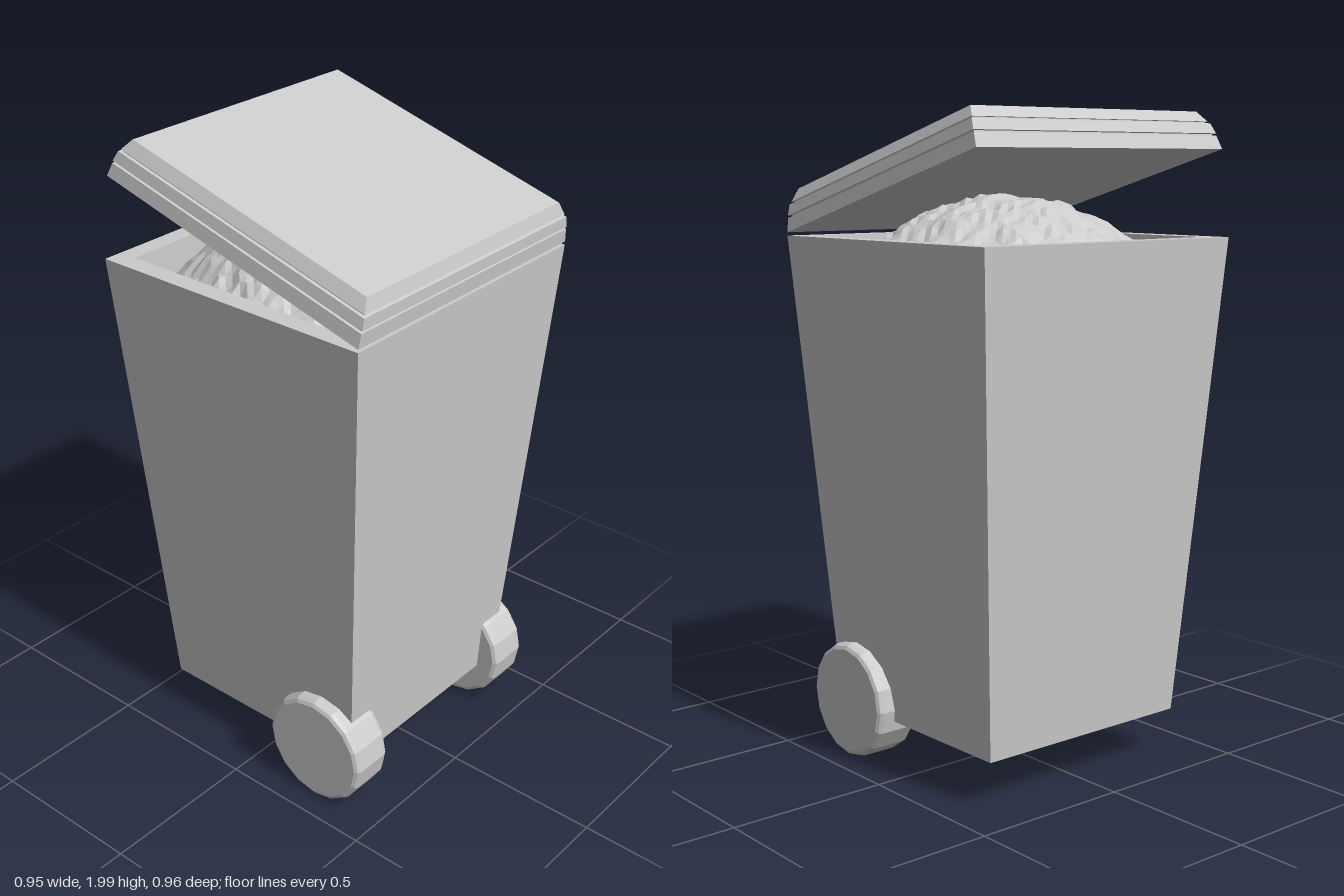
import * as THREE from 'three';

const material = new THREE.MeshStandardMaterial({ color: 0xcccccc, flatShading: true });

// Square solid from a profile of [half width, height] pairs, bottom to top
function squareLathe(profile) {
  const points = profile.map(([half, y]) => new THREE.Vector2(half * Math.SQRT2, y));
  return new THREE.LatheGeometry(points, 4, Math.PI / 4);
}

function part(name, geometry) {
  const mesh = new THREE.Mesh(geometry, material);
  mesh.name = name;
  return mesh;
}

// Crumpled mound that fills the bin mouth
function moundGeometry() {
  let seed = 7;
  const random = () => (seed = (seed * 16807) % 2147483647) / 2147483647;
  const geometry = new THREE.PlaneGeometry(0.82, 0.82, 30, 30).rotateX(-Math.PI / 2);
  const p = geometry.attributes.position;
  for (let i = 0; i < p.count; i++) {
    const x = p.getX(i), z = p.getZ(i);
    const ripple = 0.006 * Math.sin(23 * x + 9 * z) * Math.cos(19 * z - 7 * x);
    p.setY(i, 1.752 - 0.93 * (x * x + z * z) + ripple + (random() - 0.5) * 0.016);
  }
  geometry.computeVertexNormals();
  return geometry;
}

export function createModel() {
  const model = new THREE.Group();
  model.name = 'wheeledBin';

  // Tapered body with a thick rim and hollow inside
  model.add(part('body', squareLathe([
    [0, 0.15], [0.37, 0.15], [0.475, 1.63], [0.415, 1.63], [0.33, 0.21], [0, 0.21],
  ])));

  model.add(part('rubbish', moundGeometry()));

  // Propped lid: three flared bands separated by thin grooves
  const lid = part('lid', squareLathe([
    [0, 0], [0.475, 0], [0.468, 0.043], [0.459, 0.043], [0.459, 0.05],
    [0.468, 0.05], [0.46, 0.083], [0.449, 0.083], [0.449, 0.09],
    [0.455, 0.09], [0.435, 0.126], [0, 0.126],
  ]));
  lid.position.set(0, 1.765, 0.017);
  lid.rotation.x = 0.267;
  model.add(lid);

  // Front wheels with rounded edges
  const wheelProfile = [
    [0, -0.072], [0.164, -0.072], [0.175, -0.066], [0.18, -0.054],
    [0.18, 0.054], [0.175, 0.066], [0.164, 0.072], [0, 0.072],
  ].map(([r, y]) => new THREE.Vector2(r, y));
  const wheelGeometry = new THREE.LatheGeometry(wheelProfile, 16).rotateZ(Math.PI / 2);
  for (const side of [1, -1]) {
    const wheel = part(side > 0 ? 'leftWheel' : 'rightWheel', wheelGeometry);
    wheel.position.set(side * 0.357, 0.187, 0.267);
    model.add(wheel);
  }

  return model;
}
